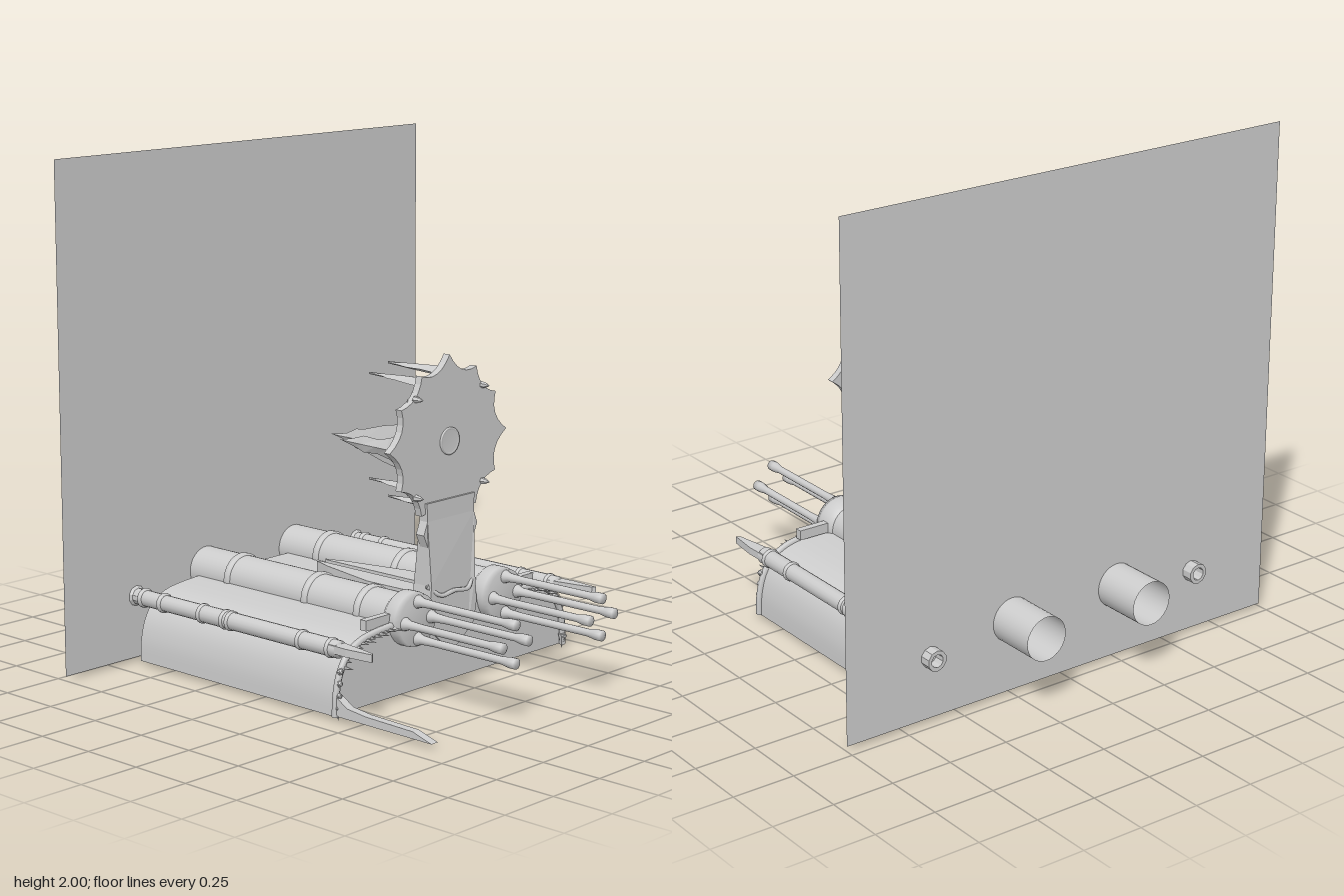
import * as THREE from 'three';

const mat = new THREE.MeshStandardMaterial({ color: 0xcccccc, side: THREE.DoubleSide });
const flat = new THREE.MeshStandardMaterial({ color: 0xcccccc, side: THREE.DoubleSide, flatShading: true });
const V = (x, y, z) => new THREE.Vector3(x, y, z);

function add(parent, name, geo, x = 0, y = 0, z = 0, m = mat) {
  const mesh = new THREE.Mesh(geo, m);
  mesh.name = name;
  mesh.position.set(x, y, z);
  parent.add(mesh);
  return mesh;
}

// Surface turned around the z axis from [radius, z] pairs
function turned(pts, sides = 24) {
  const g = new THREE.LatheGeometry(pts.map(([r, z]) => new THREE.Vector2(r, z)), sides);
  return g.rotateX(Math.PI / 2);
}

// Flat polygon extruded in z
function plate(points, depth) {
  return new THREE.ExtrudeGeometry(new THREE.Shape(points.map(p => new THREE.Vector2(...p))), { depth, bevelEnabled: false });
}

// Blade pointing to -z, wide in x and thinning in y toward its tip, from [half width, z] pairs
function backBlade(pts, thick) {
  const pos = [], idx = [];
  pts.forEach(([w, z], i) => {
    const t = thick * (1 - 0.8 * i / (pts.length - 1));
    pos.push(-w, 0, z, 0, t, z, w, 0, z, 0, -t, z);
    if (i) for (let k = 0; k < 4; k++) {
      const a = 4 * i - 4 + k, b = 4 * i - 4 + (k + 1) % 4;
      idx.push(a, b, a + 4, b, b + 4, a + 4);
    }
  });
  const g = new THREE.BufferGeometry();
  g.setAttribute('position', new THREE.Float32BufferAttribute(pos, 3));
  g.setIndex(idx);
  g.computeVertexNormals();
  return g;
}

// Right half of the hull arch, from the ground to the centre line
const arch = [[0.655, 0.015], [0.65, 0.1], [0.628, 0.18], [0.585, 0.24], [0.52, 0.275], [0.44, 0.29], [0.35, 0.297]];

function hull(group) {
  const half = new THREE.SplineCurve(arch.map(p => new THREE.Vector2(...p))).getPoints(24);
  const outline = [...half, ...half.slice().reverse().map(p => new THREE.Vector2(-p.x, p.y))];
  const pos = [], idx = [];
  outline.forEach((p, i) => {
    pos.push(p.x, p.y, 0.385, p.x, p.y, -0.66);
    if (i) idx.push(2 * i - 2, 2 * i - 1, 2 * i, 2 * i - 1, 2 * i + 1, 2 * i);
  });
  const g = new THREE.BufferGeometry();
  g.setAttribute('position', new THREE.Float32BufferAttribute(pos, 3));
  g.setIndex(idx);
  g.computeVertexNormals();
  add(group, 'hullShell', g);
  add(group, 'frontPlate', new THREE.ShapeGeometry(new THREE.Shape(outline)), 0, 0, 0.383);
  add(group, 'backWall', new THREE.PlaneGeometry(1.99, 1.985), 0, 1.0075, -0.71);
}

// Ornate rim on the front edge of the arch, with teeth
function rim(group, s) {
  const path = new THREE.CatmullRomCurve3(arch.map(([x, y]) => V(s * x, y, 0.395)));
  add(group, 'archRim', new THREE.TubeGeometry(path, 30, 0.014, 6));
  for (let i = 8; i <= 20; i++) {
    const p = path.getPointAt(i / 20), len = 0.035 + 0.012 * (i % 3);
    const tooth = add(group, 'rimTooth', new THREE.ConeGeometry(0.009, len, 5), p.x, p.y - 0.008, 0.395 + len / 2, flat);
    tooth.rotation.x = Math.PI / 2;
  }
  for (let i = 0; i < 4; i++) add(group, 'rimKnob', new THREE.IcosahedronGeometry(0.014, 0), s * (0.65 - i * 0.004), 0.05 + i * 0.045, 0.405, flat);
  add(group, 'rimLedge', new THREE.BoxGeometry(0.13, 0.04, 0.03), s * 0.415, 0.32, 0.37);
  const foot = add(group, 'rimFoot', new THREE.ConeGeometry(0.016, 0.06, 6), s * 0.645, 0.03, 0.4, flat);
  foot.rotation.x = Math.PI;
}

// Large tube with its cluster of four barrels
function cannon(group, s) {
  const g = new THREE.Group();
  g.name = 'cannon';
  g.position.set(s * 0.25, 0.305, 0);
  group.add(g);
  add(g, 'mainTube', turned([[0.088, -0.915], [0.088, 0.37]], 32));
  for (const z of [-0.5, -0.075, 0.2])
    add(g, 'tubeRing', turned([[0.088, z - 0.016], [0.096, z - 0.01], [0.096, z + 0.01], [0.088, z + 0.016]], 32));
  add(g, 'barrelMount', turned([[0.088, 0.34], [0.105, 0.36], [0.105, 0.41], [0.1, 0.435], [0, 0.435]], 32));
  for (let i = 0; i < 4; i++) {
    const a = i * Math.PI / 2;
    add(g, 'barrel', turned([[0.03, 0.39], [0.028, 0.43], [0.018, 0.46], [0.015, 0.52], [0.015, 0.85],
      [0.021, 0.885], [0.021, 0.915], [0, 0.915]], 12), 0.072 * Math.cos(a), 0.072 * Math.sin(a), 0);
  }
}

// Thin pipe along the hull shoulder, ending in a curved claw
function sidePipe(group, s) {
  const g = new THREE.Group();
  g.name = 'sidePipe';
  g.position.set(s * 0.625, 0.263, 0);
  group.add(g);
  add(g, 'pipeEnd', turned([[0.032, -0.66], [0.032, -0.7], [0.041, -0.71], [0.041, -0.755], [0.026, -0.755], [0.026, -0.6]], 10), 0, 0, 0, flat);
  add(g, 'pipeBody', turned([[0.032, -0.68], [0.032, -0.34], [0.034, -0.32], [0.034, 0.39], [0, 0.39]], 16));
  for (const z of [-0.66, -0.55, -0.33, -0.205, -0.175, 0.2, 0.35])
    add(g, 'pipeRing', turned([[0.032, z - 0.01], [0.039, z - 0.005], [0.039, z + 0.005], [0.032, z + 0.01]], 16));
  const claw = plate([[-0.03, 0.36], [0.03, 0.36], [0.033, 0.45], [0.02, 0.57], [0.005, 0.56], [-0.01, 0.48]].map(([x, z]) => [s * x, -z]), 0.03);
  add(g, 'claw', claw.rotateX(-Math.PI / 2), 0, -0.01, 0, flat);
}

function tower(group) {
  const right = [[0.12, 0.22], [0.135, 0.3], [0.125, 0.4], [0.13, 0.55], [0.152, 0.6], [0.132, 0.65], [0.135, 0.72]];
  const arc = [-0.085, -0.04, 0, 0.04, 0.085].map(x => [x, 0.14 + 7 * x * x]);
  const g = plate([...arc, ...right, ...right.slice().reverse().map(([x, y]) => [-x, y])], 0.06);
  const p = g.attributes.position;
  for (let i = 0; i < p.count; i++) {
    const low = p.getY(i) < 0.45, back = p.getZ(i) < 0.01;
    p.setZ(i, back ? (low ? 0.3 : 0.335) : (low ? 0.39 : 0.375));
  }
  g.computeVertexNormals();
  add(group, 'tower', g, 0, 0, 0, flat);
  // Collar around the base of the tower
  const collar = new THREE.CatmullRomCurve3([V(-0.13, 0.4, 0.37), V(-0.08, 0.36, 0.395), V(0, 0.365, 0.395), V(0.08, 0.36, 0.395), V(0.13, 0.4, 0.37)]);
  add(group, 'towerCollar', new THREE.TubeGeometry(collar, 20, 0.009, 6));
  // Paired blades lying on the deck behind the tower
  for (const s of [-1, 1]) {
    const blade = add(group, 'deckBlade', plate([[s * 0.015, -0.32], [s * 0.11, -0.32], [s * 0.115, -0.05], [s * 0.055, 0.22], [s * 0.025, 0.31], [s * 0.015, 0.3]], 0.05), 0, 0.31, 0, flat);
    blade.rotation.x = -Math.PI / 2;
  }
}

function disc(group) {
  const g = new THREE.Group();
  g.name = 'spikedDisc';
  g.position.set(0, 0.94, 0);
  group.add(g);
  // Scalloped outline with twelve points
  const shape = new THREE.Shape();
  const at = (a, r) => [r * Math.cos(a), r * Math.sin(a)];
  shape.moveTo(0.33, 0);
  for (let i = 0; i < 12; i++) {
    const a = (i + 1) * Math.PI / 6, r = (i + 1) % 3 ? 0.308 : 0.33;
    shape.quadraticCurveTo(...at(a - Math.PI / 12, 0.24), ...at(a, r));
  }
  add(g, 'discPlate', new THREE.ExtrudeGeometry(shape, { depth: 0.03, bevelEnabled: false, curveSegments: 6 }), 0, 0, 0.335);
  add(g, 'hub', turned([[0.053, 0.36], [0.053, 0.37], [0.045, 0.37], [0.045, 0.367], [0, 0.367]]));
  // Four pairs of blades at top, bottom and both sides, pointing backward
  for (let i = 0; i < 4; i++) {
    const arm = new THREE.Group();
    arm.name = 'bladePair';
    arm.rotation.z = i * Math.PI / 2;
    g.add(arm);
    add(arm, 'longBlade', backBlade([[0.19, 0.342], [0.1, 0.325], [0.085, 0.3], [0.07, 0.22], [0.042, 0.12],
      [0.038, 0.08], [0.014, 0.03], [0, -0.05]], 0.022), 0, 0.208, 0, flat);
    add(arm, 'shortBlade', backBlade([[0.06, 0.342], [0.04, 0.3], [0.028, 0.24], [0.032, 0.17], [0.016, 0.12], [0, 0.05]], 0.022), 0, 0.262, 0, flat);
    // Studs on the front face between the blades
    add(arm, 'spikeStud', turned([[0.014, 0.36], [0.01, 0.385], [0, 0.405]], 6), 0.185, 0.19, 0, flat);
  }
}

export function createModel() {
  const group = new THREE.Group();
  hull(group);
  for (const s of [-1, 1]) {
    rim(group, s);
    cannon(group, s);
    sidePipe(group, s);
  }
  tower(group);
  disc(group);
  // Long blade at the foot of the right side
  const blade = add(group, 'footBlade', plate([[0.39, 0.02], [0.87, 0.018], [0.78, 0.045], [0.55, 0.05], [0.46, 0.06], [0.39, 0.1]], 0.034), -0.625, 0, 0, flat);
  blade.rotation.y = -Math.PI / 2;
  return group;
}
